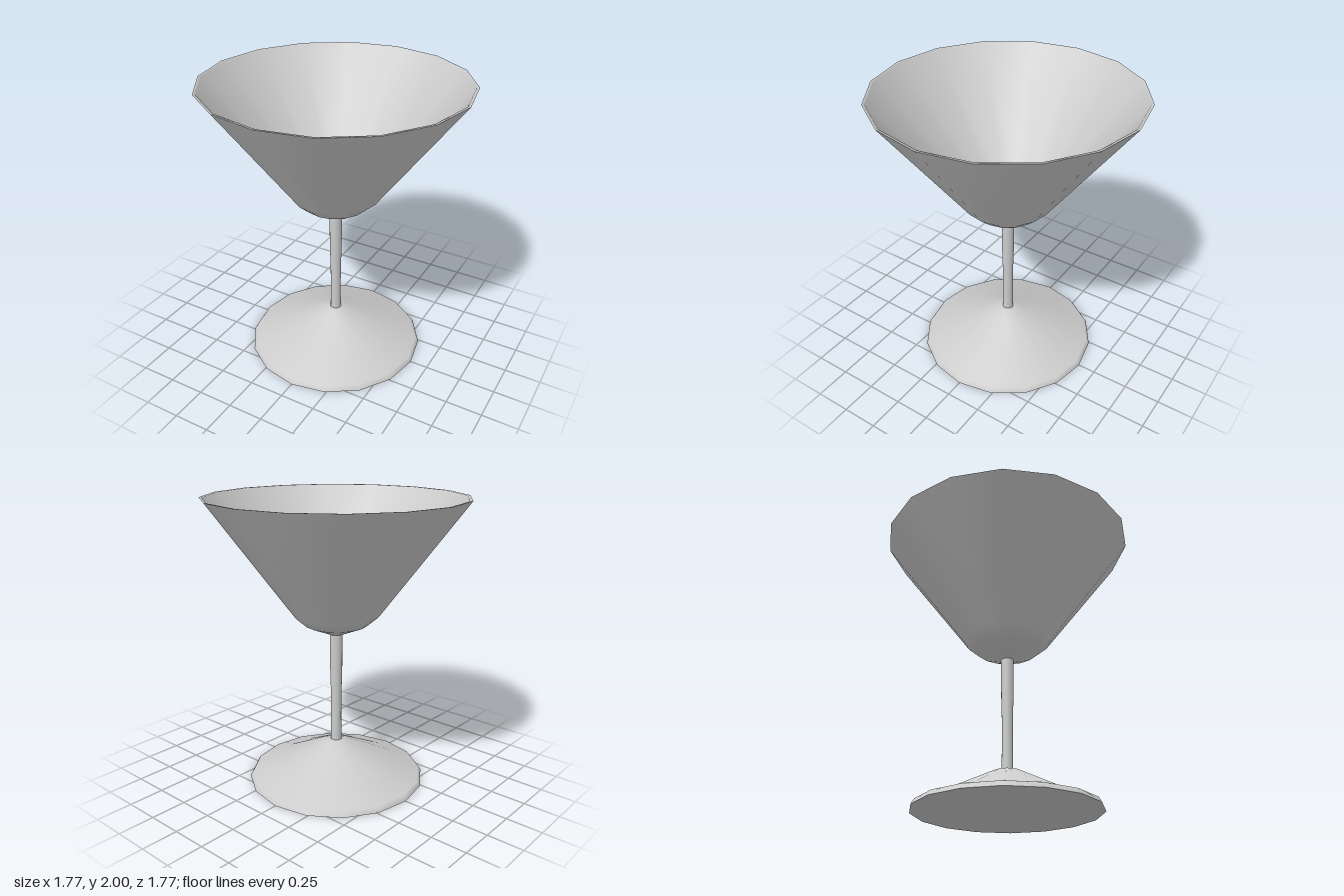
import * as THREE from 'three';

const SIDES = 16;

export function createModel() {
  const group = new THREE.Group();
  group.name = 'cocktailGlass';
  const material = new THREE.MeshStandardMaterial({ color: 0xcccccc });

  const add = (name, geometry) => {
    const mesh = new THREE.Mesh(geometry, material);
    mesh.name = name;
    group.add(mesh);
    return mesh;
  };
  // Profiles run bottom to top on the outside, so faces point outward
  const turned = (name, profile) =>
    add(name, new THREE.LatheGeometry(profile.map(([r, y]) => new THREE.Vector2(r, y)), SIDES));

  // Foot: shallow cone with a bevelled rim
  turned('foot', [[0.625, 0], [0.62, 0.01], [0.605, 0.035], [0.46, 0.08], [0.1, 0.262], [0.04, 0.28]]);

  // Flat underside of the foot
  add('footUnderside', new THREE.CircleGeometry(0.625, SIDES)).rotation.x = Math.PI / 2;

  // Stem: slightly wider in its upper half
  turned('stem', [[0.038, 0.275], [0.036, 0.45], [0.037, 0.62], [0.042, 0.8], [0.044, 1.07]]);

  // Bowl: outer wall up to the lip
  turned('bowlOuter', [[0.044, 1.065], [0.22, 1.14], [0.3, 1.21], [0.885, 2]]);

  // Bowl: lip and inner wall down to the rounded bottom
  turned('bowlInner', [[0.885, 2], [0.865, 1.998], [0.285, 1.225], [0.21, 1.16], [0.1, 1.11], [0, 1.09]]);

  return group;
}
